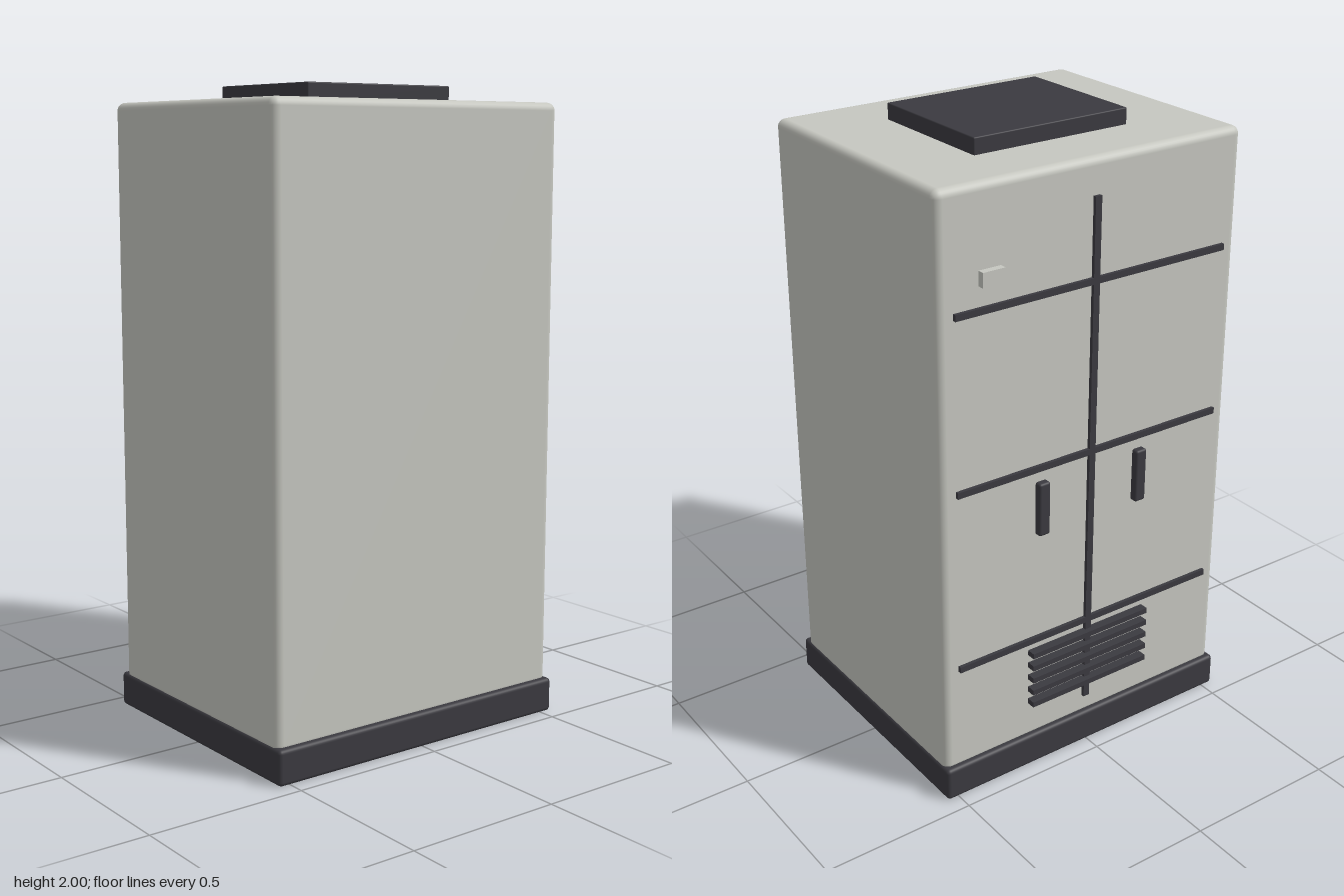
import * as THREE from 'three';
import { RoundedBoxGeometry } from 'three/addons/geometries/RoundedBoxGeometry.js';

export function createModel() {
  const group = new THREE.Group();
  const shell = new THREE.MeshStandardMaterial({ color: 0xc6c7c0 });
  shell.name = 'warm light grey';
  const dark = new THREE.MeshStandardMaterial({ color: 0x3b3a40 });
  dark.name = 'charcoal';

  // Box given by its centre and size, with optional rounded edges
  function box(name, material, [x, y, z], [w, h, d], radius = 0) {
    const geometry = radius
      ? new RoundedBoxGeometry(w, h, d, 3, radius)
      : new THREE.BoxGeometry(w, h, d);
    const mesh = new THREE.Mesh(geometry, material);
    mesh.name = name;
    mesh.position.set(x, y, z);
    group.add(mesh);
  }

  // Plinth, cabinet and top cover
  box('base', dark, [0, 0.055, 0.002], [1.08, 0.11, 0.9], 0.013);
  box('cabinet', shell, [0, 1.02, 0.002], [1.07, 1.86, 0.86], 0.025);
  box('topCover', dark, [0, 1.97, 0.002], [0.54, 0.06, 0.45], 0.004);

  // Door and panel seams on the back
  box('doorSeam', dark, [0, 1.003, -0.431], [0.022, 1.675, 0.016]);
  for (const y of [1.59, 1.048, 0.457]) {
    box('panelSeam', dark, [0, y, -0.431], [0.965, 0.02, 0.016]);
  }

  // Pair of door handles
  for (const side of [-1, 1]) {
    box('doorHandle', dark, [side * 0.183, 0.914, -0.438], [0.04, 0.176, 0.028], 0.008);
  }

  // Ventilation slats
  for (let i = 0; i < 5; i++) {
    box('ventSlat', dark, [0, 0.233 + i * 0.045, -0.44], [0.45, 0.018, 0.034]);
  }

  // Small plate near the top of the back
  box('plate', shell, [0.362, 1.683, -0.437], [0.074, 0.045, 0.026]);

  return group;
}
